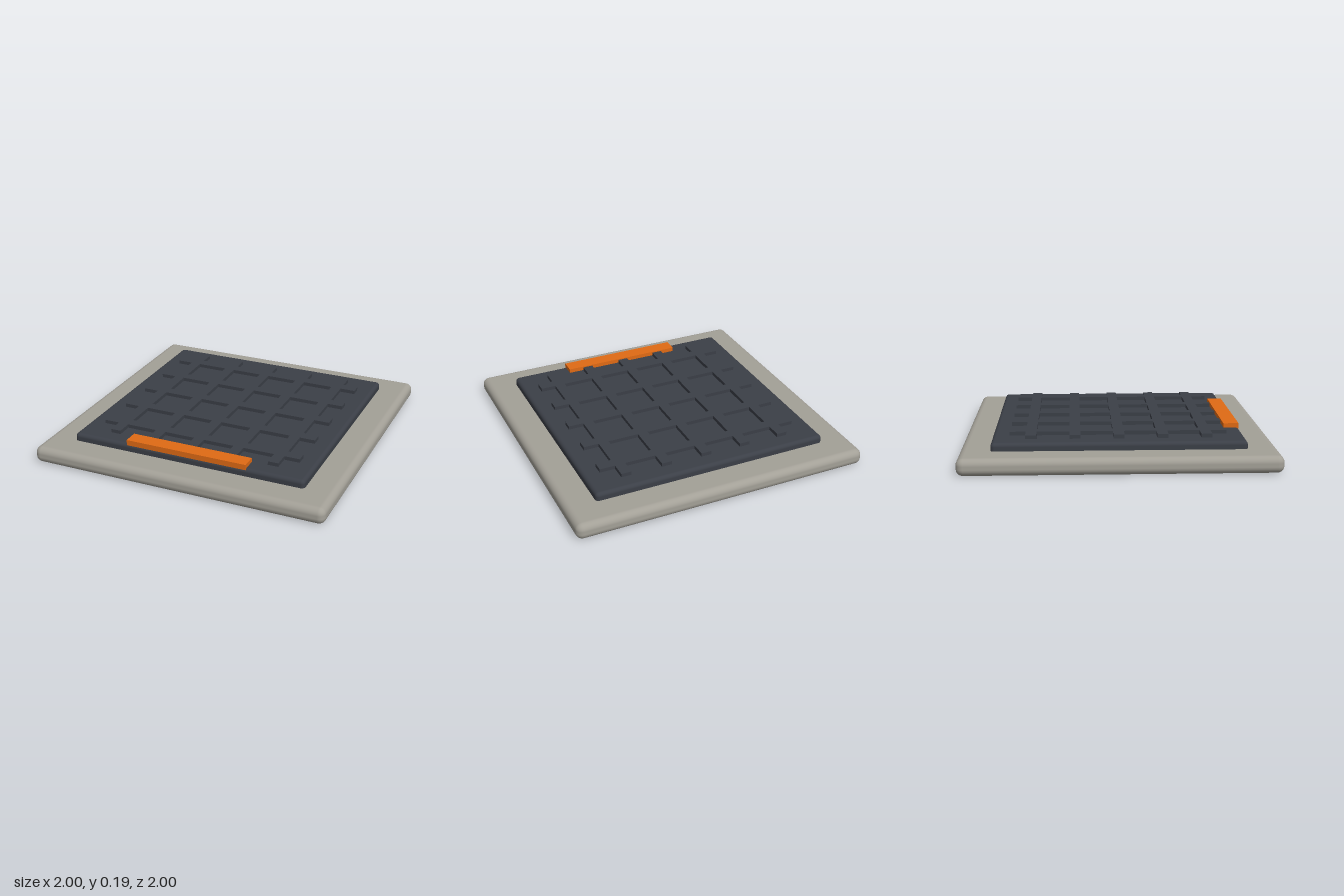
import * as THREE from 'three';
import { RoundedBoxGeometry } from 'three/addons/geometries/RoundedBoxGeometry.js';

export function createModel() {
  const model = new THREE.Group();
  model.name = 'floorPlate';

  const stone = new THREE.MeshStandardMaterial({ color: 0xa3a097 });
  const rubber = new THREE.MeshStandardMaterial({ color: 0x3b3f47 });
  const orange = new THREE.MeshStandardMaterial({ color: 0xe06a14 });

  const add = (name, geometry, material, x, y, z, parent = model) => {
    const mesh = new THREE.Mesh(geometry, material);
    mesh.name = name;
    mesh.position.set(x, y, z);
    parent.add(mesh);
  };

  // Slab and the raised pad sunk into it
  add('baseSlab', new RoundedBoxGeometry(2, 0.11, 2, 3, 0.045), stone, 0, 0.055, 0);
  add('pad', new RoundedBoxGeometry(1.605, 0.09, 1.605, 3, 0.025), rubber, 0, 0.116, 0);

  // Crossed grip ribs, five each way
  const ribs = new THREE.Group();
  ribs.name = 'gripRibs';
  model.add(ribs);
  const lengthwise = new THREE.BoxGeometry(0.07, 0.035, 1.388);
  const crosswise = new THREE.BoxGeometry(1.388, 0.035, 0.07);
  for (let i = -2; i <= 2; i++) {
    const offset = i * 0.278;
    add('lengthwiseRib', lengthwise, rubber, offset, 0.168, 0, ribs);
    add('crosswiseRib', crosswise, rubber, 0, 0.168, offset, ribs);
  }

  // Coloured strip along the front edge
  add('frontStrip', new THREE.BoxGeometry(0.832, 0.037, 0.1), orange, 0, 0.1705, 0.75);

  return model;
}
